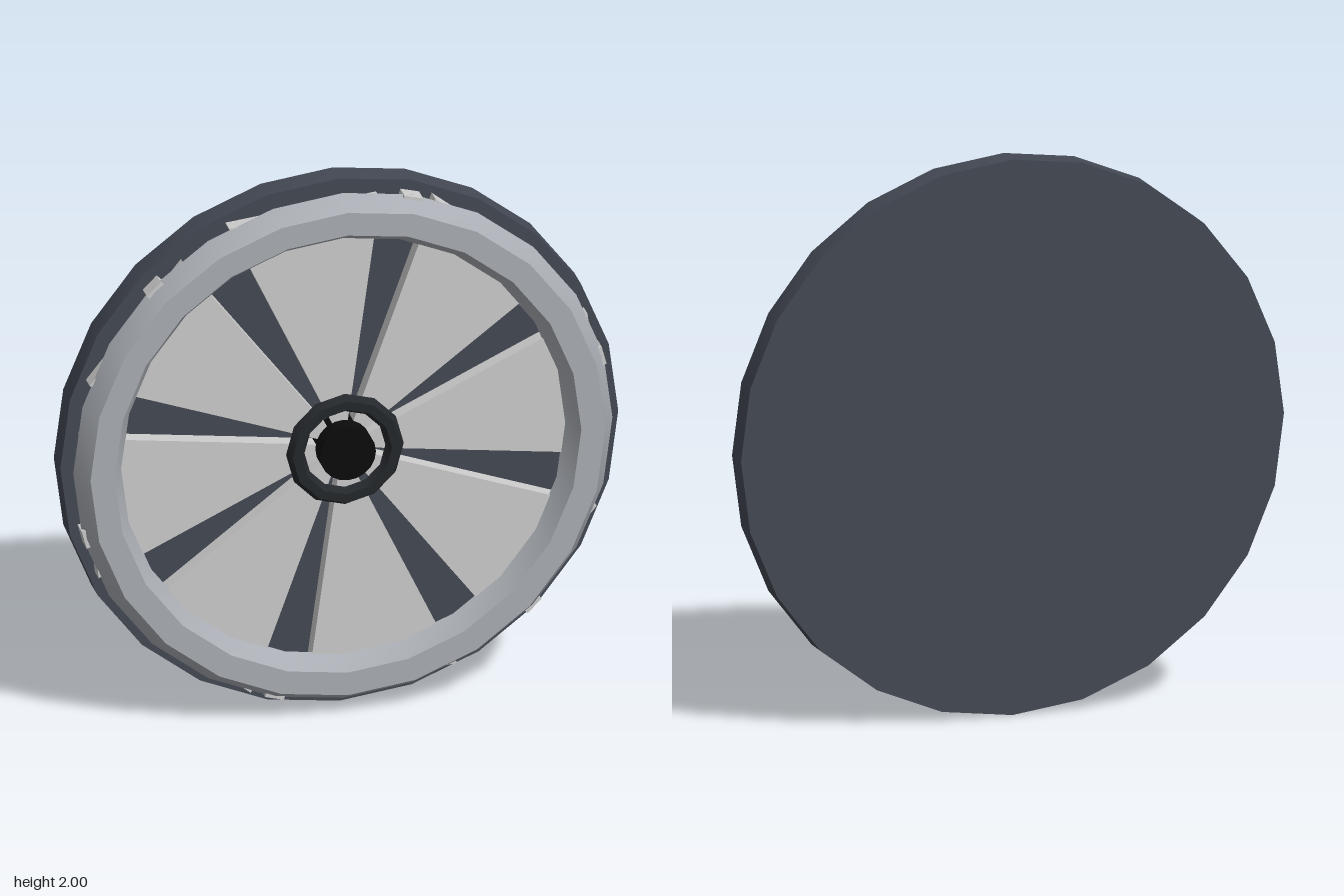
import * as THREE from 'three';
import { toCreasedNormals } from 'three/addons/utils/BufferGeometryUtils.js';

const rad = THREE.MathUtils.degToRad;

export function createModel() {
  const model = new THREE.Group();
  const wheel = new THREE.Group();
  wheel.name = 'wheel';
  wheel.position.y = 1;
  model.add(wheel);

  const material = (color) => new THREE.MeshStandardMaterial({ color });
  const slate = material(0x434853);
  const steel = material(0xa9adb3);
  const grey = material(0xcccccc);
  const charcoal = material(0x24272b);
  const black = material(0x0b0b0b);

  function add(name, geometry, mat, z = 0) {
    const mesh = new THREE.Mesh(toCreasedNormals(geometry, 0.55), mat);
    mesh.name = name;
    mesh.position.z = z;
    wheel.add(mesh);
    return mesh;
  }

  // Cylinder lying along z between two depths
  function disc(radius, back, front, sides) {
    return new THREE.CylinderGeometry(radius, radius, front - back, sides)
      .rotateX(Math.PI / 2)
      .translate(0, 0, (back + front) / 2);
  }

  // Solid back plate and six-sided rim
  add('backPlate', disc(1, -0.11, -0.015, 24), slate);
  add('rim', new THREE.TorusGeometry(0.88, 0.0866, 6, 24), steel, 0.035);

  // Eight flat wedge blades separated by narrow gaps
  const corner = (r, deg) => new THREE.Vector2(r * Math.cos(rad(deg)), r * Math.sin(rad(deg)));
  const bladeShape = new THREE.Shape([
    corner(0.07, -10.5), corner(0.945, -8), corner(0.967, 25), corner(0.07, 22.5),
  ]);
  for (let i = 0; i < 8; i++) {
    const geometry = new THREE.ExtrudeGeometry(bladeShape, { depth: 0.065, bevelEnabled: false });
    add('blade', geometry, grey, -0.025).rotation.z = rad(i * 45);
  }

  // Six small studs breaking through the rim's outer edge
  for (let i = 0; i < 6; i++) {
    const geometry = new THREE.BoxGeometry(0.07, 0.07, 0.06).translate(0.93, 0, 0);
    add('stud', geometry, grey, 0.025).rotation.z = rad(15 + i * 60);
  }

  // Hub collar and central cap
  add('hubCollar', new THREE.TorusGeometry(0.178, 0.033, 6, 12), charcoal, 0.065);
  add('hubCap', disc(0.1, -0.02, 0.11, 20), black);

  return model;
}
